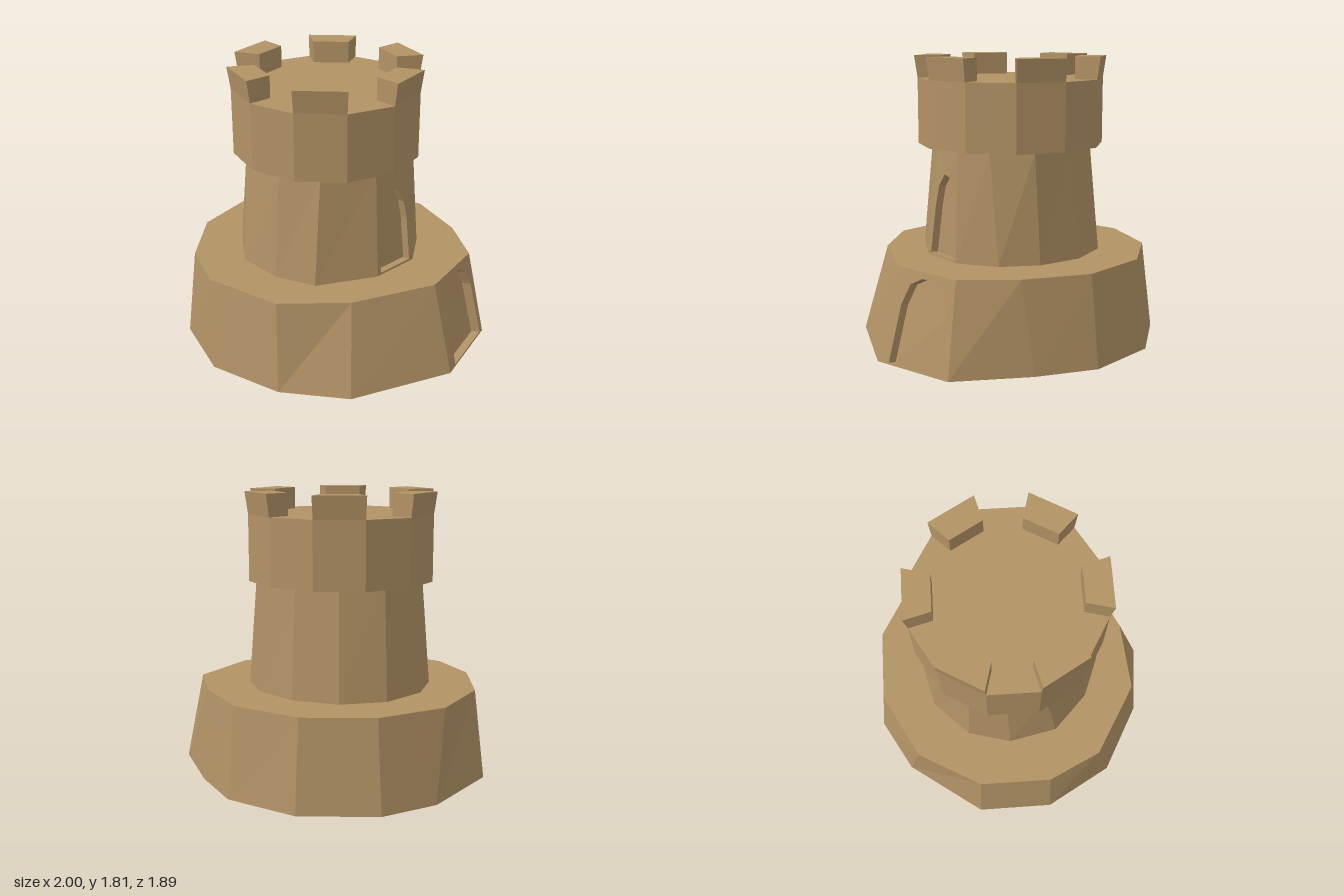
import * as THREE from 'three';

const stone = new THREE.MeshStandardMaterial({ color: 0xb29265 });
stone.name = 'sandstone';

const at = (loop, y) => loop.map(([x, z]) => new THREE.Vector3(x, y, z));

// Sample a four-cornered wall: u runs left to right, v upwards
const onWall = ([bl, br, tr, tl], u, v) =>
  bl.clone().lerp(br, u).lerp(tl.clone().lerp(tr, u), v);

// Triangles of a flat uv shape, laid onto a wall and pushed in by an offset
function shapeOnWall(out, shape, wall, offset) {
  const g = new THREE.ShapeGeometry(shape).toNonIndexed();
  const p = g.attributes.position;
  for (let i = 0; i < p.count; i++) out.push(onWall(wall, p.getX(i), p.getY(i)).add(offset));
}

// Wall with an arched recess cut into it
function doorWall(out, wall, { outline, depth }) {
  const pts = outline.map(([u, v]) => new THREE.Vector2(u, v));
  const face = new THREE.Shape([[0, 0], [1, 0], [1, 1], [0, 1]].map(([u, v]) => new THREE.Vector2(u, v)));
  face.holes.push(new THREE.Path(pts));
  const [bl, br, , tl] = wall;
  const inward = br.clone().sub(bl).cross(tl.clone().sub(bl)).normalize().multiplyScalar(-depth);
  shapeOnWall(out, face, wall, new THREE.Vector3());
  shapeOnWall(out, new THREE.Shape(pts), wall, inward);
  pts.forEach((a, i) => {
    const b = pts[(i + 1) % pts.length];
    const p = onWall(wall, a.x, a.y), q = onWall(wall, b.x, b.y);
    const p2 = p.clone().add(inward), q2 = q.clone().add(inward);
    out.push(p, q, q2, p, q2, p2);
  });
}

// Closed faceted block between a lower and an upper loop, with an optional door
function block(name, lower, y0, upper, y1, door) {
  const b = at(lower, y0), t = at(upper, y1), out = [], n = b.length;
  const mid = (loop) => loop.reduce((s, p) => s.add(p), new THREE.Vector3()).divideScalar(n);
  const cb = mid(b), ct = mid(t);
  for (let i = 0; i < n; i++) {
    const j = (i + 1) % n;
    if (door && door.side === i) doorWall(out, [b[j], b[i], t[i], t[j]], door);
    else out.push(b[j], b[i], t[i], b[j], t[i], t[j]);
    out.push(ct, t[j], t[i], cb, b[i], b[j]);
  }
  const g = new THREE.BufferGeometry().setFromPoints(out);
  g.computeVertexNormals();
  const mesh = new THREE.Mesh(g, stone);
  mesh.name = name;
  return mesh;
}

export function createModel() {
  const model = new THREE.Group();
  model.name = 'tower';

  // Broad tapered base with an arched doorway on the left side
  const baseLow = [[-0.05, -0.95], [0.42, -0.82], [0.70, -0.54], [1.0, -0.13], [0.90, 0.42], [0.39, 0.87],
    [-0.05, 0.94], [-0.53, 0.82], [-0.87, 0.47], [-1.0, 0], [-0.80, -0.55], [-0.53, -0.82]];
  const baseHigh = [[-0.05, -0.88], [0.40, -0.76], [0.70, -0.45], [0.88, -0.12], [0.76, 0.35], [0.34, 0.71],
    [-0.08, 0.86], [-0.57, 0.72], [-0.81, 0.44], [-0.93, 0], [-0.82, -0.44], [-0.49, -0.76]];
  model.add(block('base', baseLow, 0, baseHigh, 0.57, {
    side: 3, depth: 0.06,
    outline: [[0.16, 0.02], [0.93, 0.02], [0.90, 0.66], [0.82, 0.84], [0.65, 0.93], [0.45, 0.93], [0.27, 0.85], [0.18, 0.63]],
  }));

  // Narrower shaft with a tall arched recess
  const shaftLow = [[0.55, 0.07], [0.40, 0.36], [0.07, 0.59], [-0.20, 0.56], [-0.47, 0.41], [-0.61, 0.13],
    [-0.61, -0.15], [-0.46, -0.42], [-0.20, -0.56], [0.10, -0.55], [0.36, -0.41], [0.51, -0.20]];
  const shaftHigh = [[0.50, 0.08], [0.36, 0.30], [0.08, 0.51], [-0.19, 0.49], [-0.47, 0.32], [-0.56, 0.10],
    [-0.56, -0.13], [-0.43, -0.37], [-0.18, -0.50], [0.10, -0.49], [0.36, -0.37], [0.48, -0.13]];
  model.add(block('shaft', shaftLow, 0.57, shaftHigh, 1.25, {
    side: 0, depth: 0.05,
    outline: [[0.10, 0.02], [0.90, 0.02], [0.88, 0.45], [0.82, 0.62], [0.65, 0.755], [0.42, 0.765], [0.20, 0.65], [0.13, 0.45]],
  }));

  // Overhanging twelve-sided parapet
  const rim = (k, r) => [-0.05 + r * Math.cos(k * Math.PI / 6), r * Math.sin(k * Math.PI / 6)];
  const drum = Array.from({ length: 12 }, (_, k) => rim(k, 0.595));
  model.add(block('parapet', drum, 1.25, drum, 1.67));

  // Battlement blocks on every other side, flaring outwards
  for (let k = 0; k < 12; k += 2) {
    const ring = (r) => [rim(k, r), rim(k + 1, r), rim(k + 1, 0.445), rim(k, 0.445)];
    model.add(block('merlon', ring(0.595), 1.67, ring(0.615), 1.81));
  }
  return model;
}
